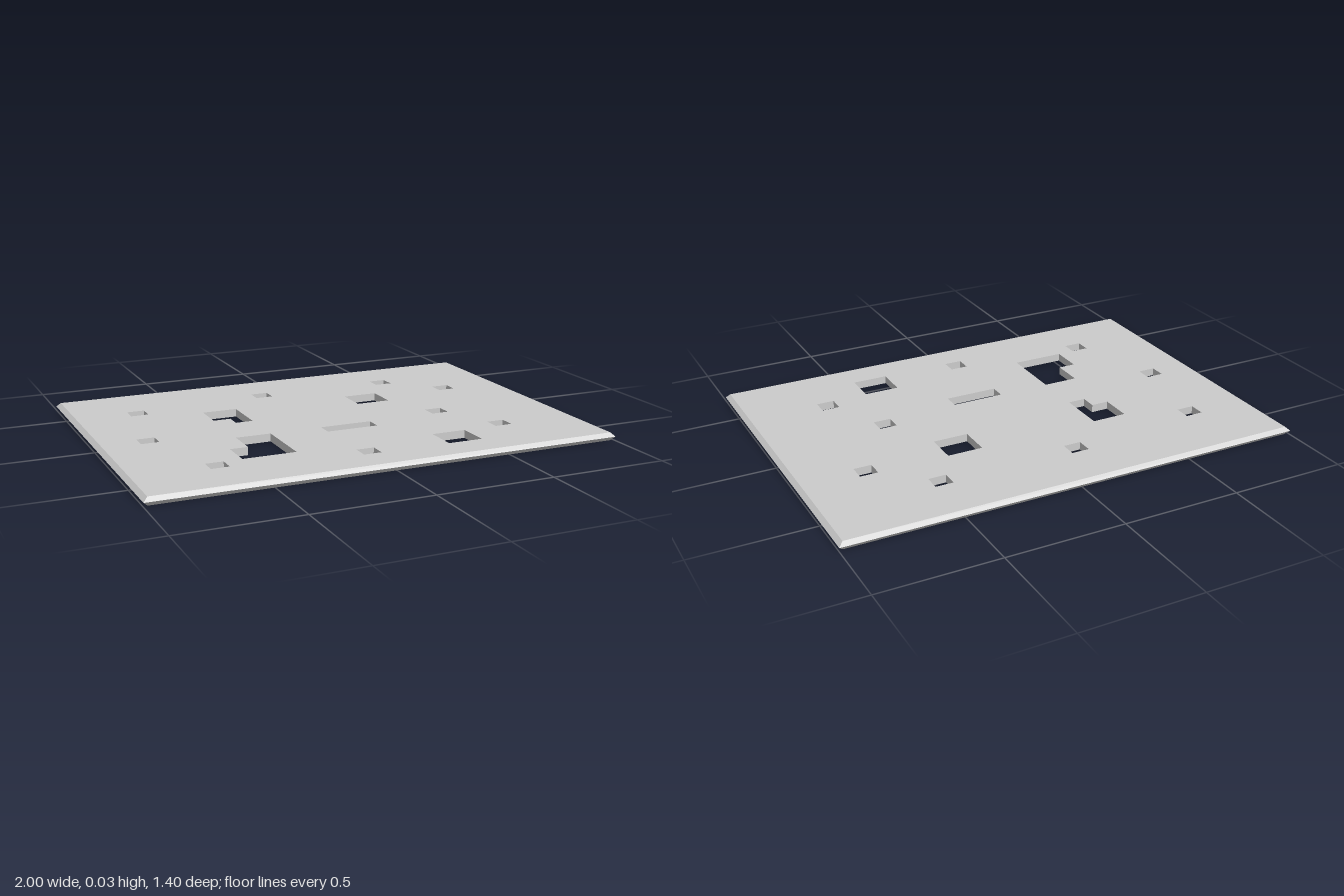
import * as THREE from 'three';

const CELL_X = 0.0753, CELL_Z = 0.0692; // hole grid spacing
const HALF_X = 1, HALF_Z = 0.702, HEIGHT = 0.034;
const BEVEL_X = 0.018, BEVEL_Z = 0.014;

// Rectangle outline from two corners in grid cells
const rect = (i0, j0, i1, j1) => [[i0, j0], [i1, j0], [i1, j1], [i0, j1]];

export function createModel() {
  const group = new THREE.Group();
  group.name = 'perforatedPlate';

  // Single-cell holes
  const small = [[-10, -6], [-2, -7], [6, -7], [9, -4], [-11, 0], [6, 1], [8, 5], [-9, 6], [-1, 7]];
  const holes = small.map(([i, j]) => rect(i, j, i + 1, j + 1));

  // Larger rectangular holes and the two L-shaped ones
  holes.push(
    rect(3, -4, 5, -2),
    rect(4, 6, 6, 8),
    rect(-1, 2, 2, 3),
    [[-6, -4], [-4, -4], [-4, -1], [-5, -1], [-5, -2], [-6, -2]],
    [[-6, 2], [-4, 2], [-4, 6], [-7, 6], [-7, 4], [-6, 4]],
  );

  // Plate outline (anticlockwise) with the holes running clockwise
  const ix = HALF_X - BEVEL_X, iz = HALF_Z - BEVEL_Z;
  const toPoints = (pts, sx, sz) => pts.map(([x, z]) => new THREE.Vector2(x * sx, -z * sz));
  const shape = new THREE.Shape(toPoints(rect(-1, 1, 1, -1), ix, iz));
  for (const h of holes) shape.holes.push(new THREE.Path(toPoints(h, CELL_X, CELL_Z)));

  const geo = new THREE.ExtrudeGeometry(shape, { depth: HEIGHT, steps: 2, bevelEnabled: false });
  geo.rotateX(-Math.PI / 2);

  // Push the middle ring of the rim outwards to form the pointed edge
  const pos = geo.attributes.position;
  for (let k = 0; k < pos.count; k++) {
    const x = pos.getX(k), z = pos.getZ(k);
    const middle = Math.abs(pos.getY(k) - HEIGHT / 2) < 0.001;
    if (middle && Math.abs(x) > ix - 0.001) {
      pos.setXYZ(k, Math.sign(x) * HALF_X, HEIGHT / 2, Math.sign(z) * HALF_Z);
    }
  }
  geo.computeVertexNormals();

  const plate = new THREE.Mesh(geo, new THREE.MeshStandardMaterial({ color: 0xcccccc, flatShading: true }));
  plate.name = 'plate';
  group.add(plate);
  return group;
}
